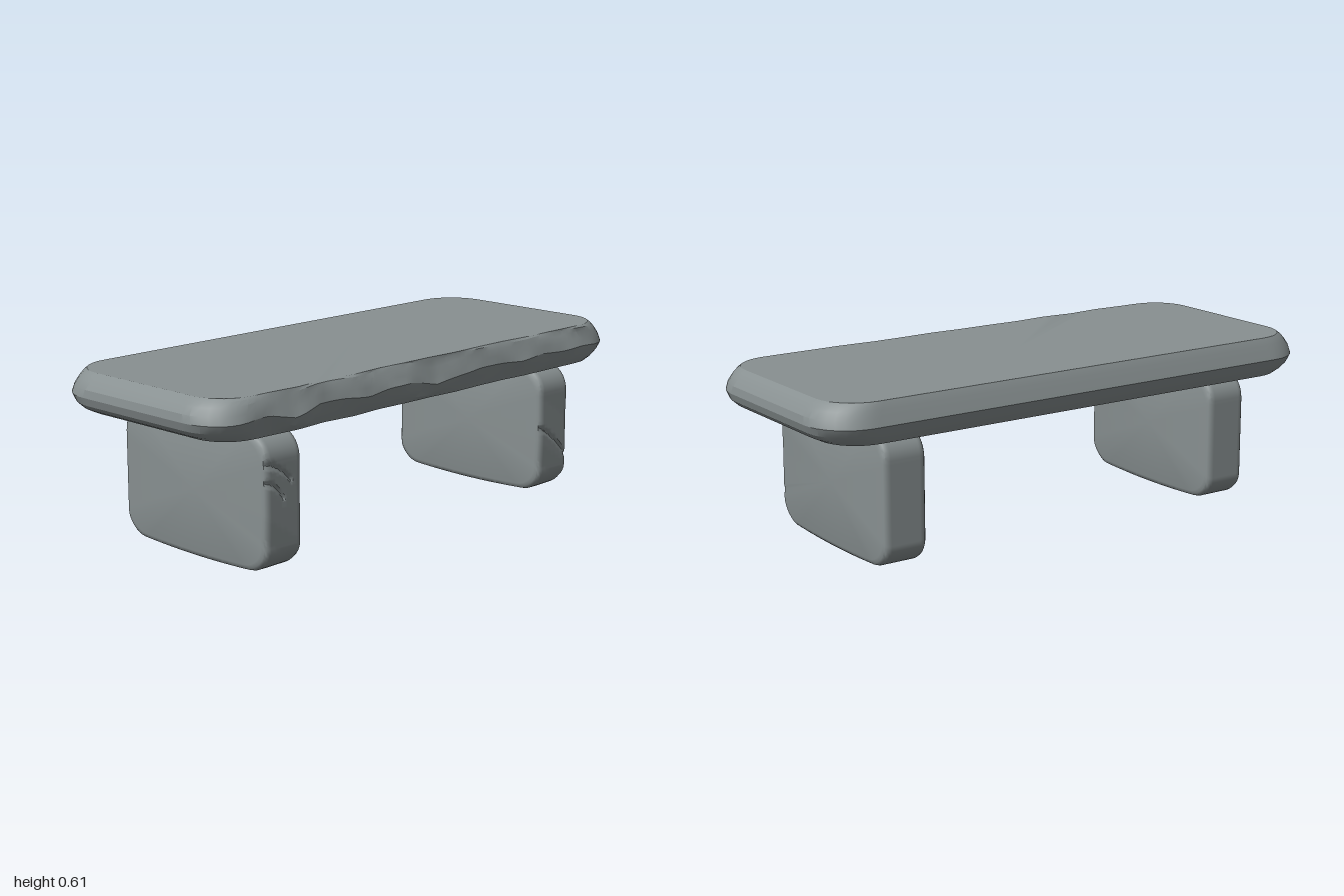
import * as THREE from 'three';
import { toCreasedNormals } from 'three/addons/utils/BufferGeometryUtils.js';

// Rounded rectangle in the x/z plane, with points along the straight edges too
function outline(hx, hz, r, edge = 40, arc = 8) {
  const pts = [];
  const corners = [[1, 1], [-1, 1], [-1, -1], [1, -1]];
  corners.forEach(([sx, sz], c) => {
    const cx = sx * (hx - r), cz = sz * (hz - r);
    for (let i = 0; i <= arc; i++) {
      const a = (c + i / arc) * Math.PI / 2;
      pts.push([cx + r * Math.cos(a), cz + r * Math.sin(a)]);
    }
    const [nx, nz] = corners[(c + 1) % 4];
    const end = (c + 1) * Math.PI / 2;
    const a = [cx + r * Math.cos(end), cz + r * Math.sin(end)];
    const b = [nx * (hx - r) + r * Math.cos(end), nz * (hz - r) + r * Math.sin(end)];
    for (let i = 1; i < edge; i++) {
      const t = i / edge;
      pts.push([a[0] + (b[0] - a[0]) * t, a[1] + (b[1] - a[1]) * t]);
    }
  });
  return pts;
}

// Skin equal-length rings from bottom to top and close both ends
function loft(rings, crease) {
  const n = rings[0].length, pos = [], idx = [];
  rings.forEach(ring => ring.forEach(p => pos.push(...p)));
  for (let k = 0; k < rings.length - 1; k++) {
    for (let i = 0; i < n; i++) {
      const a = k * n + i, b = k * n + (i + 1) % n;
      idx.push(a, a + n, b, b, a + n, b + n);
    }
  }
  [0, rings.length - 1].forEach(k => {
    const centre = pos.length / 3;
    pos.push(0, rings[k][0][1], 0);
    for (let i = 0; i < n; i++) {
      const a = k * n + i, b = k * n + (i + 1) % n;
      if (k === 0) idx.push(centre, a, b); else idx.push(centre, b, a);
    }
  });
  const g = new THREE.BufferGeometry();
  g.setAttribute('position', new THREE.Float32BufferAttribute(pos, 3));
  g.setIndex(idx);
  return toCreasedNormals(g, crease);
}

// Jagged piecewise-linear noise in -1..1
function jag(x, seed) {
  const h = i => { const s = Math.sin(i * 127.1 + seed * 311.7) * 43758.5453; return 2 * (s - Math.floor(s)) - 1; };
  const i = Math.floor(x), t = x - i;
  return h(i) * (1 - t) + h(i + 1) * t;
}

// Slab with a bevelled rim and a chipped front edge
function seatGeometry() {
  const levels = [ // y, half width, half depth
    [0.465, 0.935, 0.380], [0.480, 0.966, 0.391], [0.500, 0.988, 0.402], [0.528, 0.998, 0.414],
    [0.555, 0.994, 0.404], [0.580, 0.978, 0.394], [0.596, 0.962, 0.387], [0.605, 0.948, 0.382]
  ];
  const rings = levels.map(([y, hx, hz], k) => outline(hx, hz, 0.165 - (1 - hx) * 0.4, 72).map(([x, z]) => {
    const front = THREE.MathUtils.smoothstep(z, 0.28, 0.37) * (1 - THREE.MathUtils.smoothstep(Math.abs(x), 0.8, 0.95));
    const rim = k === 0 || k === 7 ? 0 : 1;
    const lift = rim * front * 0.016 * jag(x * 9, 2) * Math.sin(Math.PI * k / 7);
    const chip = front * (0.008 + 0.007 * jag(x * 8, 5) + rim * 0.007 * jag(x * 11 + k * 0.7, 8));
    return [x, y + lift, z - chip];
  }));
  return loft(rings, 0.42);
}

// Rounded slab leg, skinned across its thickness; scratches cut its front face
function legGeometry(scratches) {
  const half = 0.0815, steps = 18, bevel = 0.02, rings = [];
  const stations = [-half, -half + 0.003, -half + 0.009];
  for (let i = 0; i <= steps; i++) stations.push((i / steps * 2 - 1) * (half - bevel));
  stations.push(half - 0.009, half - 0.003, half);
  stations.forEach(s => {
    const d = Math.max(0, Math.abs(s) - (half - bevel));
    const inset = bevel - Math.sqrt(Math.max(0, bevel * bevel - d * d));
    rings.push(outline(0.2325 - inset, 0.3475 - inset, 0.085, 44).map(([u, z]) => {
      const y = -u;
      // Underside bows slightly downward, edges bulge a little
      const low = THREE.MathUtils.smoothstep(u, 0.12, 0.23);
      const lift = low * 0.014 * (z / 0.3475) ** 2;
      let cut = 0;
      if (z > 0.28) {
        scratches.forEach(([x0, y0, x1, y1]) => {
          const t = (s - x0) / (x1 - x0);
          if (t < 0 || t > 1) return;
          const line = y0 + (y1 - y0) * t + 0.012 * Math.sin(t * Math.PI);
          cut += 0.009 * Math.max(0, 1 - Math.abs(y - line) / 0.014);
        });
        cut += 0.003 * (1 + jag(y * 12 + s * 8, 4));
      }
      return [u - lift, s, z - cut];
    }));
  });
  const g = loft(rings, 0.6);
  g.rotateZ(-Math.PI / 2);
  return g;
}

export function createModel() {
  const group = new THREE.Group();
  const stone = new THREE.MeshStandardMaterial({ color: 0x889091 });
  stone.name = 'grey stone';

  const add = (name, geometry, x, y, z) => {
    const mesh = new THREE.Mesh(geometry, stone);
    mesh.name = name;
    mesh.position.set(x, y, z);
    group.add(mesh);
  };

  add('seat', seatGeometry(), 0, 0, 0);
  // Scratch lines: thickness and height at each end, from the leg's centre
  add('rightLeg', legGeometry([[-0.075, 0.14, 0.04, 0.07], [-0.075, 0.08, 0.0, 0.02]]), -0.695, 0.2325, 0.0325);
  add('leftLeg', legGeometry([[-0.075, 0.02, 0.08, -0.11]]), 0.668, 0.2325, 0.0325);
  return group;
}
